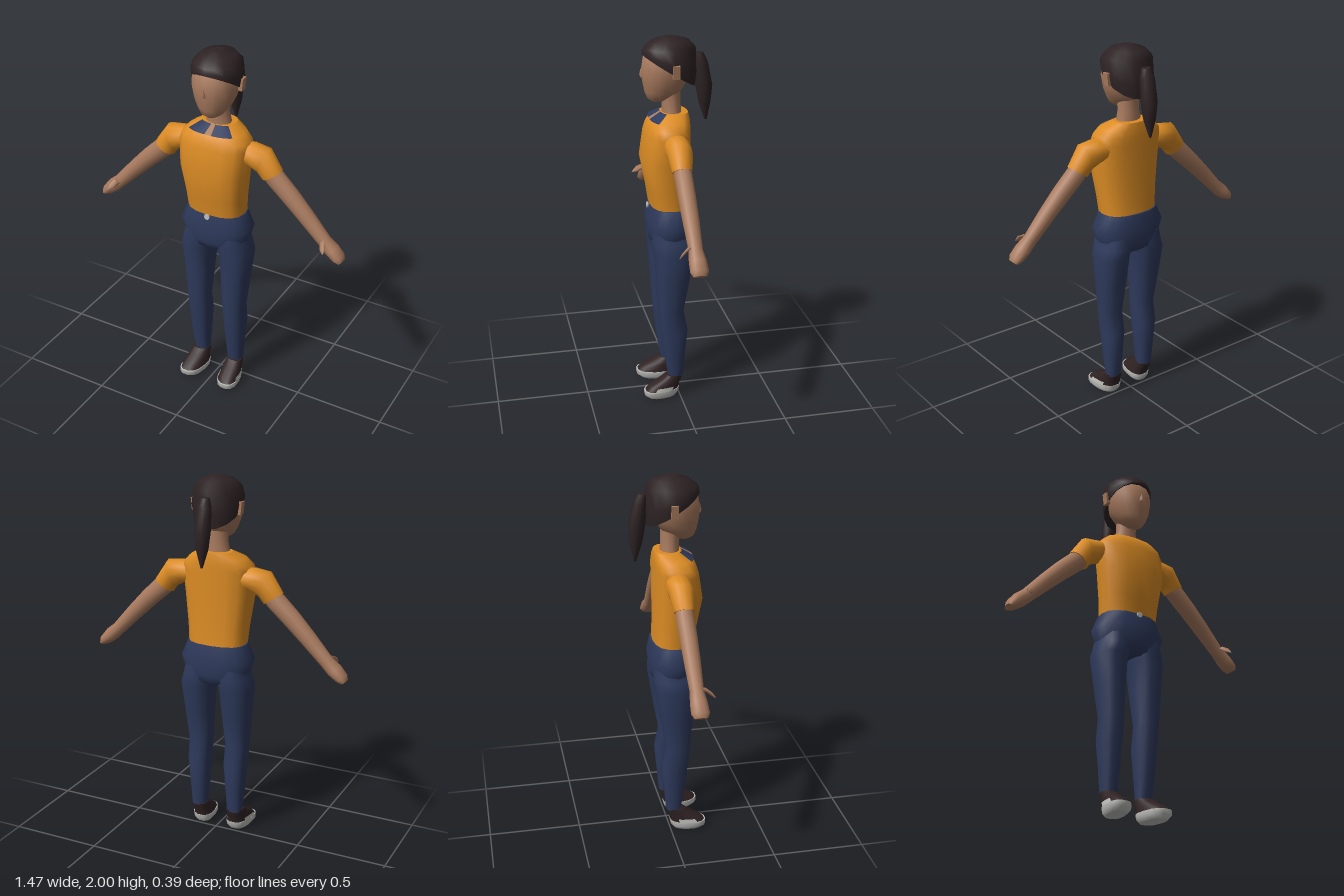
import * as THREE from 'three';

const mat = (name, color) => {
  const m = new THREE.MeshStandardMaterial({ color });
  m.name = name;
  return m;
};

// Ring given by a centre and two half-axis vectors
const ring = (c, u, v, e = 1) => ({
  c: new THREE.Vector3(...c), u: new THREE.Vector3(...u), v: new THREE.Vector3(...v), e,
});
// Level ring given by its height and its extents in x and z
const level = (y, x0, x1, zb, zf, e = 0.85, shear = 0) => {
  const rz = (zf - zb) / 2;
  return ring([(x0 + x1) / 2, y, (zb + zf) / 2], [(x1 - x0) / 2, 0, 0], [shear * rz, 0, rz], e);
};
const sym = (y, hx, zb, zf, e) => level(y, -hx, hx, zb, zf, e);
const mirrored = (rings) => rings.map((r) => {
  const flip = (p) => [-p.x, p.y, p.z];
  return ring(flip(r.c), flip(r.u), flip(r.v), r.e);
});
const grown = (rings, d) => rings.map((r) => ({
  ...r, u: r.u.clone().setLength(r.u.length() + d), v: r.v.clone().setLength(r.v.length() + d),
}));

// Skin over a row of rings: closed with end caps, or an open arc in degrees
function loft(rings, n = 16, arc = null) {
  const pos = [], idx = [];
  const closed = !arc, cols = closed ? n : n + 1;
  const [a0, a1] = arc || [0, 360];
  const pw = (x, e) => Math.sign(x) * Math.abs(x) ** e;
  const addRing = (r) => {
    for (let i = 0; i < cols; i++) {
      const t = THREE.MathUtils.degToRad(a0 + (a1 - a0) * i / n);
      const p = r.c.clone().addScaledVector(r.u, pw(Math.cos(t), r.e))
        .addScaledVector(r.v, pw(Math.sin(t), r.e));
      pos.push(p.x, p.y, p.z);
    }
  };
  const last = rings[rings.length - 1];
  const along = last.c.clone().sub(rings[0].c);
  const out = rings[0].u.clone().cross(rings[0].v).dot(along) > 0;
  const tri = (a, b, c) => (out ? idx.push(a, b, c) : idx.push(a, c, b));
  rings.forEach(addRing);
  for (let j = 0; j < rings.length - 1; j++) {
    for (let i = 0; i < n; i++) {
      const a = j * cols + i, b = j * cols + (i + 1) % cols;
      tri(a, b, b + cols);
      tri(a, b + cols, a + cols);
    }
  }
  if (closed) {
    for (const [r, end] of [[rings[0], false], [last, true]]) {
      const s = pos.length / 3;
      addRing(r);
      pos.push(r.c.x, r.c.y, r.c.z);
      for (let i = 0; i < n; i++) {
        const a = s + i, b = s + (i + 1) % n;
        if (end) tri(a, b, s + n); else tri(b, a, s + n);
      }
    }
  }
  const g = new THREE.BufferGeometry();
  g.setAttribute('position', new THREE.Float32BufferAttribute(pos, 3));
  g.setIndex(idx);
  g.computeVertexNormals();
  return g;
}

export function createModel() {
  const model = new THREE.Group();
  const skin = mat('skin', 0xa87a5e), orange = mat('orange cloth', 0xdc8c24);
  const navy = mat('navy cloth', 0x2e3a5c), hairMat = mat('dark hair', 0x2d2224);
  const shoeMat = mat('dark shoe', 0x302223), pale = mat('pale rubber', 0xc0c0bc);
  const add = (name, geo, m) => {
    const mesh = new THREE.Mesh(geo, m);
    mesh.name = name;
    model.add(mesh);
    return mesh;
  };
  const pair = (name, rings, m, n, arc) => {
    add('left' + name, loft(rings, n, arc), m);
    add('right' + name, loft(mirrored(rings), n, arc), m);
  };

  // Shirt body
  add('shirt', loft([
    sym(1.10, 0.16, -0.075, 0.14, 0.8), sym(1.2, 0.168, -0.07, 0.155, 0.8),
    sym(1.36, 0.188, -0.07, 0.185, 0.8), sym(1.5, 0.2, -0.07, 0.162, 0.8),
    sym(1.54, 0.19, -0.07, 0.15, 0.8), sym(1.575, 0.155, -0.07, 0.132, 0.8),
    sym(1.61, 0.09, -0.065, 0.072, 0.8),
  ]), orange);

  // Collar flaps and the open neckline between them
  const neckline = grown([sym(1.576, 0.155, -0.07, 0.132, 0.8), sym(1.612, 0.09, -0.065, 0.072, 0.8)], 0.006);
  pair('Collar', neckline, navy, 5, [42, 86]);
  add('neckOpening', loft(neckline, 2, [86, 94]), skin);

  // Neck and head
  add('neck', loft([
    sym(1.58, 0.072, -0.035, 0.07, 1), sym(1.62, 0.068, -0.032, 0.07, 1),
    sym(1.66, 0.058, -0.03, 0.07, 1), sym(1.74, 0.058, -0.03, 0.08, 1),
  ], 12), skin);
  add('head', loft([
    sym(1.668, 0.03, 0.06, 0.125, 1), sym(1.685, 0.058, 0.03, 0.147, 1),
    sym(1.72, 0.085, -0.03, 0.16, 1), sym(1.77, 0.108, -0.06, 0.17, 1),
    sym(1.83, 0.122, -0.08, 0.177, 1), sym(1.9, 0.122, -0.085, 0.165, 1),
    sym(1.96, 0.09, -0.06, 0.12, 1),
  ]), skin);
  add('nose', loft([
    sym(1.795, 0.012, 0.15, 0.182, 1), sym(1.81, 0.012, 0.15, 0.187, 1), sym(1.84, 0.005, 0.15, 0.18, 1),
  ], 6), skin);
  for (const s of [-1, 1]) {
    const ear = add(s > 0 ? 'leftEar' : 'rightEar', new THREE.BoxGeometry(0.022, 0.068, 0.036), skin);
    ear.position.set(s * 0.131, 1.842, 0.02);
    ear.rotation.z = -s * 0.1;
  }

  // Hair cap with a sloping hairline, and ponytail
  add('hair', loft([
    ring([0, 1.828, 0.035], [0.128, 0, 0], [0, 0.086, 0.138]),
    ring([0, 1.872, 0.03], [0.137, 0, 0], [0, 0.056, 0.141]),
    ring([0, 1.942, 0.027], [0.125, 0, 0], [0, 0.002, 0.135]),
    ring([0, 1.98, 0.024], [0.088, 0, 0], [0, 0, 0.097]),
    ring([0, 2.0, 0.026], [0.025, 0, 0], [0, 0, 0.03]),
  ]), hairMat);
  add('ponytail', loft([
    sym(1.91, 0.025, -0.148, -0.1, 1), sym(1.86, 0.04, -0.172, -0.098, 1),
    sym(1.74, 0.042, -0.197, -0.108, 1), sym(1.65, 0.033, -0.188, -0.125, 1),
    sym(1.555, 0.006, -0.17, -0.156, 1),
  ], 10), hairMat);

  // Sleeves, arms, hands and thumbs
  const limb = (x, y, ux, uy, rz, z = 0.03) => ring([x, y, z], [ux, uy, 0], [0, 0, rz]);
  pair('Sleeve', [
    limb(0.13, 1.475, 0, 0.055, 0.06), limb(0.2, 1.472, 0.005, 0.064, 0.068),
    limb(0.268, 1.455, 0.027, 0.07, 0.065), limb(0.318, 1.383, 0.051, 0.034, 0.052),
  ], orange, 12);
  pair('Arm', [
    limb(0.3, 1.405, 0.042, 0.03, 0.045), limb(0.335, 1.368, 0.045, 0.032, 0.047),
    limb(0.42, 1.29, 0.036, 0.036, 0.046), limb(0.51, 1.2, 0.034, 0.03, 0.043),
    limb(0.62, 1.085, 0.028, 0.025, 0.036), limb(0.665, 1.045, 0.03, 0.027, 0.045),
    limb(0.705, 1.008, 0.025, 0.019, 0.047), limb(0.723, 0.99, 0.012, 0.01, 0.034),
  ], skin, 12);
  pair('Thumb', [
    ring([0.62, 1.1, 0.06], [0.014, 0.012, 0], [0, 0, 0.016]),
    ring([0.638, 1.082, 0.09], [0.016, 0.014, 0], [0, -0.005, 0.015]),
    ring([0.652, 1.06, 0.115], [0.004, 0.003, 0], [0, 0, 0.004]),
  ], skin, 6);

  // Trousers
  add('hips', loft([
    sym(1.108, 0.166, -0.085, 0.145), sym(1.02, 0.205, -0.1, 0.16),
    sym(0.94, 0.18, -0.09, 0.152), sym(0.905, 0.165, -0.082, 0.14), sym(0.885, 0.1, -0.06, 0.11),
  ]), navy);
  pair('TrouserLeg', [
    level(0.98, 0.01, 0.175, -0.08, 0.14), level(0.92, 0.003, 0.188, -0.085, 0.145),
    level(0.865, 0.022, 0.206, -0.08, 0.135), level(0.7, 0.034, 0.19, -0.055, 0.122),
    level(0.52, 0.045, 0.175, -0.022, 0.112), level(0.4, 0.046, 0.172, -0.045, 0.1),
    level(0.25, 0.056, 0.16, -0.032, 0.082), level(0.12, 0.065, 0.151, -0.02, 0.062),
  ], navy, 14);
  const button = add('waistButton', new THREE.CylinderGeometry(0.016, 0.016, 0.008, 8), pale);
  button.position.set(0, 1.1, 0.15);
  button.rotation.x = Math.PI / 2;

  // Shoes, slightly toed out, with a pale sole and side patch
  const shoe = (y, x0, x1, zb, zf) => level(y, x0, x1, zb, zf, 0.8, 0.13);
  const upper = [
    shoe(0.045, 0.053, 0.171, 0.003, 0.195), shoe(0.068, 0.057, 0.167, 0, 0.172),
    shoe(0.1, 0.06, 0.16, -0.014, 0.11), shoe(0.128, 0.062, 0.155, -0.02, 0.07),
  ];
  pair('ShoeUpper', upper, shoeMat, 14);
  pair('ShoeSole', [
    shoe(0, 0.065, 0.16, 0.02, 0.175), shoe(0.02, 0.05, 0.175, 0.005, 0.2), shoe(0.047, 0.05, 0.175, 0, 0.2),
  ], pale, 14);
  pair('ShoePatch', grown(upper.slice(0, 2), 0.003), pale, 4, [-25, 25]);

  return model;
}
